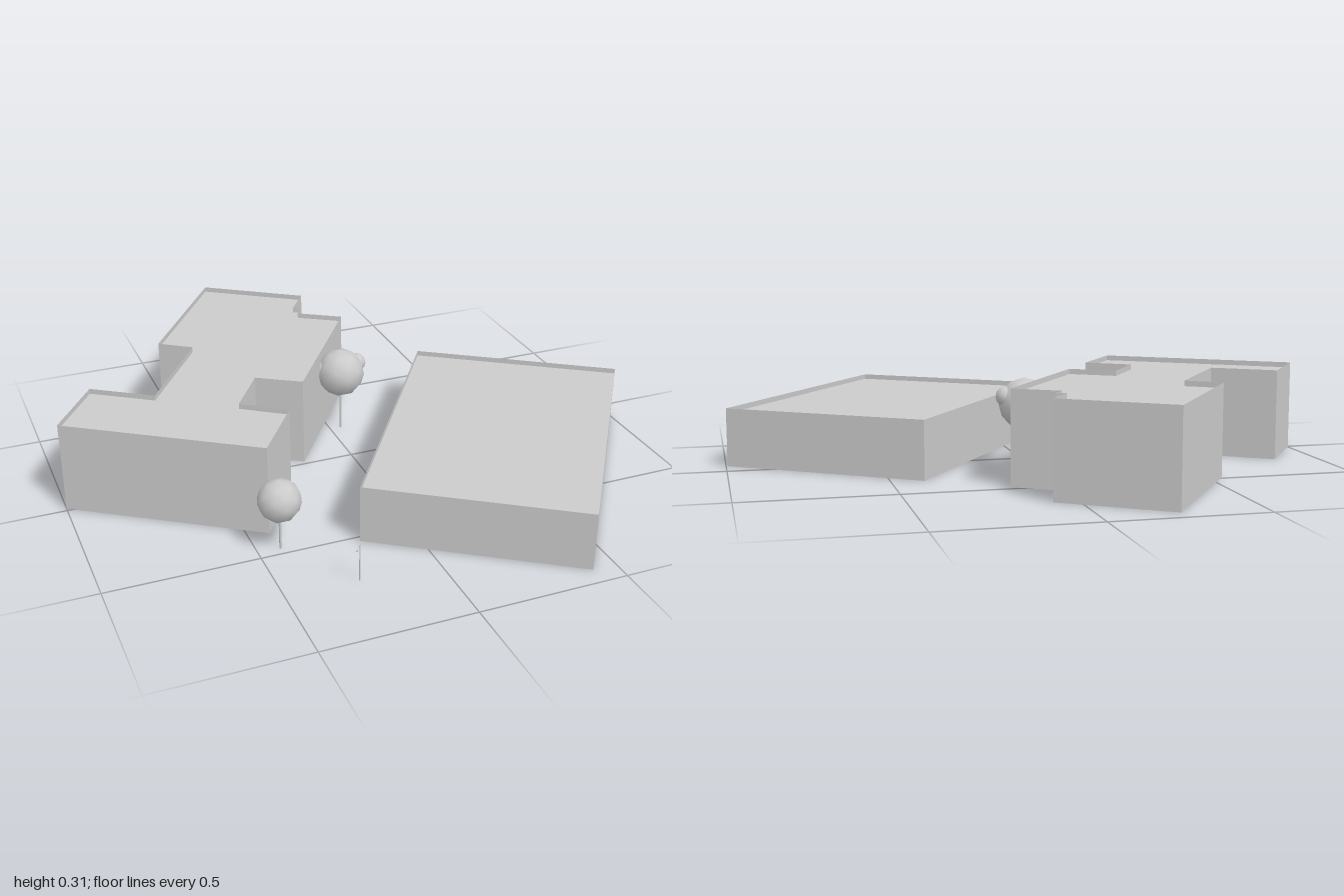
import * as THREE from 'three';

const material = new THREE.MeshStandardMaterial({ color: 0xcccccc });
const thinMaterial = new THREE.MeshStandardMaterial({ color: 0xcccccc, side: THREE.DoubleSide });

function addMesh(parent, name, geometry, x = 0, y = 0, z = 0, mat = material) {
  const mesh = new THREE.Mesh(geometry, mat);
  mesh.name = name;
  mesh.position.set(x, y, z);
  parent.add(mesh);
  return mesh;
}

// Open-bottomed building: thin walls around an [x, z] outline, roof set below the wall tops
function building(name, outline, height, recess) {
  const group = new THREE.Group();
  group.name = name;

  const positions = [];
  outline.forEach(([x0, z0], i) => {
    const [x1, z1] = outline[(i + 1) % outline.length];
    positions.push(x0, 0, z0, x0, height, z0, x1, height, z1);
    positions.push(x0, 0, z0, x1, height, z1, x1, 0, z1);
  });
  const walls = new THREE.BufferGeometry();
  walls.setAttribute('position', new THREE.Float32BufferAttribute(positions, 3));
  walls.computeVertexNormals();
  addMesh(group, 'walls', walls, 0, 0, 0, thinMaterial);

  const shape = new THREE.Shape(outline.map(([x, z]) => new THREE.Vector2(x, -z)));
  const roof = new THREE.ShapeGeometry(shape).rotateX(-Math.PI / 2);
  addMesh(group, 'roof', roof, 0, height - recess, 0, thinMaterial);
  return group;
}

// Tree with a thin trunk and a rounded crown, plus optional small foliage lumps [dx, dy, dz, r]
function tree(name, x, z, crownY, radius, lumps = []) {
  const group = new THREE.Group();
  group.name = name;
  group.position.set(x, 0, z);
  addMesh(group, 'trunk', new THREE.CylinderGeometry(0.004, 0.004, crownY, 6), 0, crownY / 2, 0);
  addMesh(group, 'crown', new THREE.IcosahedronGeometry(radius, 1), 0, crownY, 0);
  for (const [dx, dy, dz, r] of lumps) {
    addMesh(group, 'foliageLump', new THREE.IcosahedronGeometry(r, 1), dx, crownY + dy, dz);
  }
  return group;
}

// Street lamp with one side arm and a small head
function streetLamp(x, z, height) {
  const group = new THREE.Group();
  group.name = 'streetLamp';
  group.position.set(x, 0, z);
  group.rotation.y = -Math.PI * 0.7;
  addMesh(group, 'post', new THREE.CylinderGeometry(0.0015, 0.002, height, 6), 0, height / 2, 0);
  addMesh(group, 'arm', new THREE.BoxGeometry(0.036, 0.002, 0.002), 0.018, height, 0);
  addMesh(group, 'lampHead', new THREE.BoxGeometry(0.012, 0.003, 0.005), 0.032, height - 0.002, 0);
  return group;
}

export function createModel() {
  const model = new THREE.Group();
  model.name = 'buildingSite';

  // Tall winged block
  model.add(building('mainBuilding', [
    [-0.24, -0.94], [0.08, -0.72], [0.01, -0.62], [0.04, -0.605],
    [0.01, -0.565], [0.15, -0.475], [-0.17, -0.015], [-0.31, -0.105],
    [-0.42, 0.06], [-0.28, 0.16], [-0.43, 0.375], [-1, -0.013],
    [-0.85, -0.23], [-0.66, -0.1], [-0.44, -0.42], [-0.545, -0.495],
  ], 0.31, 0.018));

  // Low rectangular block
  model.add(building('lowBuilding', [
    [0.393, -0.313], [0.995, 0.094], [0.42, 0.935], [-0.18, 0.523],
  ], 0.197, 0.018));

  model.add(tree('smallTree', -0.425, 0.467, 0.174, 0.071));
  model.add(tree('largeTree', 0.04, -0.205, 0.223, 0.086, [
    [0.063, 0.025, -0.005, 0.034],
    [-0.055, 0.015, -0.015, 0.034],
  ]));
  model.add(streetLamp(-0.262, 0.722, 0.13));
  return model;
}
